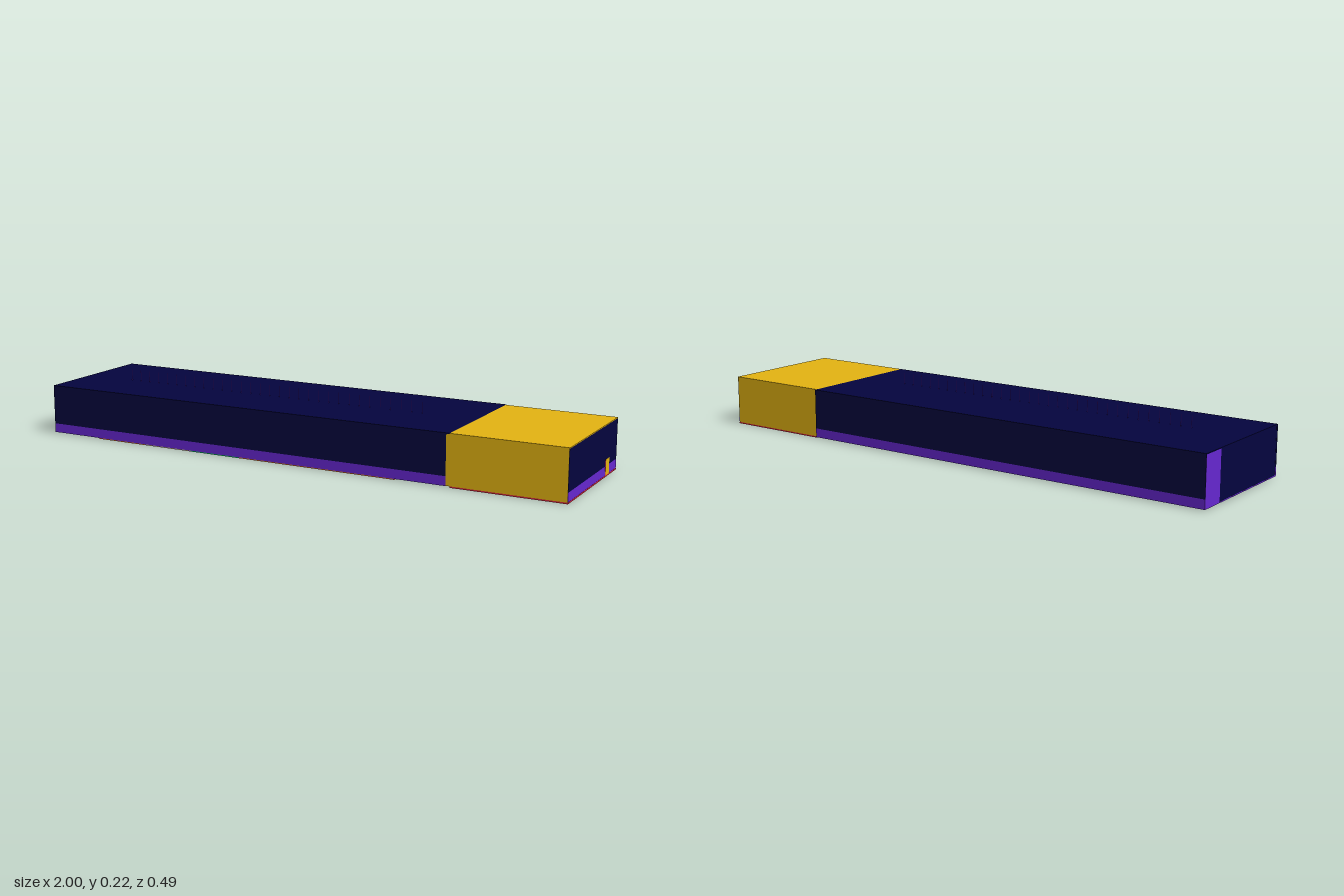
import * as THREE from 'three';

export function createModel() {
  const group = new THREE.Group();
  const paint = (name, hex) => {
    const m = new THREE.MeshStandardMaterial({ color: hex });
    m.name = name;
    return m;
  };
  const navy = paint('navy', 0x04043e);
  const purple = paint('purple', 0x6627d0);
  const gold = paint('gold', 0xe4b412);
  const red = paint('red', 0xd8263a);
  const orange = paint('orange', 0xe07030);
  const green = paint('green', 0x00c864);
  const stone = paint('stone', 0xc6a890);

  // Box given by its lower and upper limits on each axis
  const box = (name, material, [x0, x1], [y0, y1], [z0, z1]) => {
    const mesh = new THREE.Mesh(new THREE.BoxGeometry(x1 - x0, y1 - y0, z1 - z0), material);
    mesh.position.set((x0 + x1) / 2, (y0 + y1) / 2, (z0 + z1) / 2);
    mesh.name = name;
    group.add(mesh);
    return mesh;
  };

  const split = 0.585; // where the hall's front wall meets the gold end room
  const band = 0.037; // top of the purple skirting
  const front = 0.246, back = -0.2455, roomBack = -0.238;
  const roomEnd = 0.9985;

  // Floors
  box('hallFloor', purple, [-1, 0.6], [0.004, 0.008], [-0.245, 0.24]);
  box('roomFloor', red, [0.6, 1], [0, 0.005], [roomBack, front]);

  // Coloured floor strip, in sections along the front
  const sections = [
    [-0.8, -0.6, orange], [-0.6, -0.4, stone], [-0.4, -0.2, green], [-0.2, 0.4, orange],
  ];
  for (const [x0, x1, material] of sections) {
    box('floorStrip', material, [x0, x1], [0, 0.005], [0.07, 0.243]);
  }

  // Long hall walls: skirting below, navy above
  box('frontSkirting', purple, [-1, split], [0.004, band], [0.238, front]);
  box('frontWall', navy, [-1, split], [band, 0.178], [0.238, front]);
  box('backWall', purple, [-1, 0.597], [0.004, 0.178], [-0.245, -0.237]);
  box('backWallFace', navy, [-1, 0.5965], [band, 0.178], [back, -0.2445]);

  // Gold end room
  box('roomFrontWall', gold, [split, roomEnd], [0.005, 0.178], [0.238, front]);
  box('roomBackWall', gold, [0.597, roomEnd], [0.005, 0.178], [roomBack, -0.23]);

  // End walls, covering the full ends
  box('rightEndSkirting', purple, [roomEnd, 0.9993], [0.005, band], [roomBack, front]);
  box('rightEndWall', navy, [roomEnd, 0.9993], [band, 0.178], [roomBack, front]);
  box('leftEndWall', navy, [-0.9995, -0.99], [0.004, 0.178], [-0.237, 0.238]);
  box('leftEndPanel', purple, [-1, -0.994], [0.004, 0.178], [-0.245, -0.15]);

  // Roofs
  box('hallRoof', navy, [-1, 0.597], [0.178, 0.181], [back, front]);
  box('roomRoof', gold, [0.597, 1], [0.178, 0.181], [roomBack, front]);

  // Small plate on the end wall
  box('endPlate', gold, [0.996, 1], [0.005, 0.06], [-0.16, -0.125]);
  box('endPlateEdge', red, [0.996, 1], [0.005, 0.06], [-0.125, -0.121]);

  // Row of fine pins standing on the roof
  const pin = new THREE.BoxGeometry(0.0006, 0.042, 0.0025);
  for (let i = 0; i <= 30; i++) {
    const mesh = new THREE.Mesh(pin, purple);
    mesh.name = 'roofPin';
    mesh.position.set(-0.8 + i * 0.04, 0.201, 0.028);
    group.add(mesh);
  }

  return group;
}
